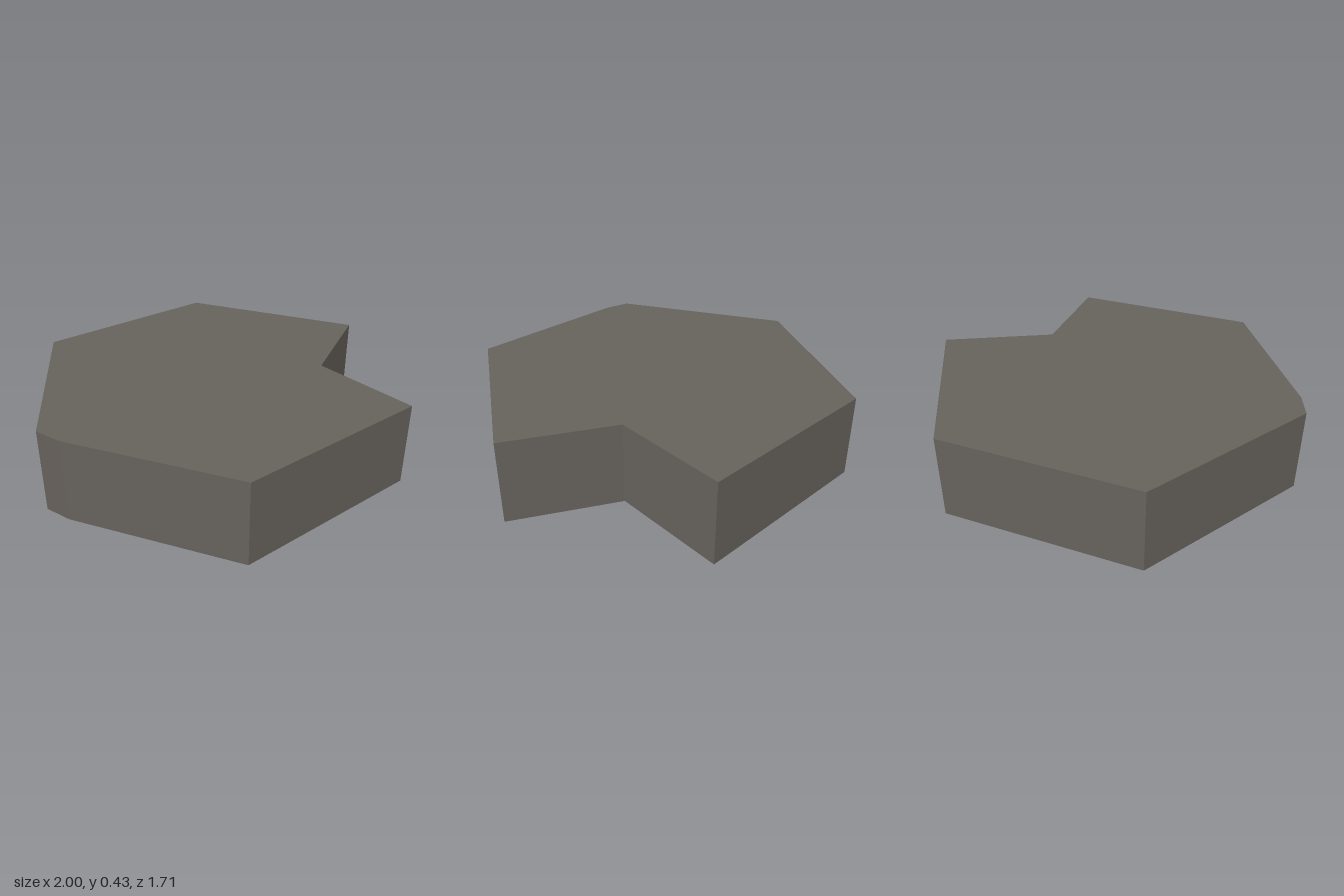
import * as THREE from 'three';

const HEIGHT = 0.43;

// Outline as [x, z], counter-clockwise seen from above: a hexagon with one
// notched side and one chipped corner
const OUTLINE = [
  [0.5, 0.857], [0.475, 0.285], [1, 0], [0.5, -0.857],
  [-0.5, -0.857], [-1, -0.025], [-0.955, 0.11], [-0.5, 0.857],
];

// One flat upright panel between two outline points
function wallPanel([ax, az], [bx, bz]) {
  const geometry = new THREE.BufferGeometry();
  geometry.setAttribute('position', new THREE.Float32BufferAttribute([
    ax, 0, az, bx, 0, bz, bx, HEIGHT, bz, ax, HEIGHT, az,
  ], 3));
  geometry.setIndex([0, 1, 2, 0, 2, 3]);
  geometry.computeVertexNormals();
  return geometry;
}

export function createModel() {
  const model = new THREE.Group();
  model.name = 'hexagonTile';

  const stone = new THREE.MeshStandardMaterial({ color: 0x66615b, side: THREE.DoubleSide });
  stone.name = 'warmGreyStone';

  // Flat top
  const shape = new THREE.Shape(OUTLINE.map(([x, z]) => new THREE.Vector2(x, -z)));
  const topGeometry = new THREE.ShapeGeometry(shape);
  topGeometry.rotateX(-Math.PI / 2);
  topGeometry.translate(0, HEIGHT, 0);
  const top = new THREE.Mesh(topGeometry, stone);
  top.name = 'top';
  model.add(top);

  // Thin walls around the edge; the underside stays open
  const walls = new THREE.Group();
  walls.name = 'walls';
  OUTLINE.forEach((point, i) => {
    const next = OUTLINE[(i + 1) % OUTLINE.length];
    const wall = new THREE.Mesh(wallPanel(point, next), stone);
    wall.name = `wall${i + 1}`;
    walls.add(wall);
  });
  model.add(walls);

  return model;
}
